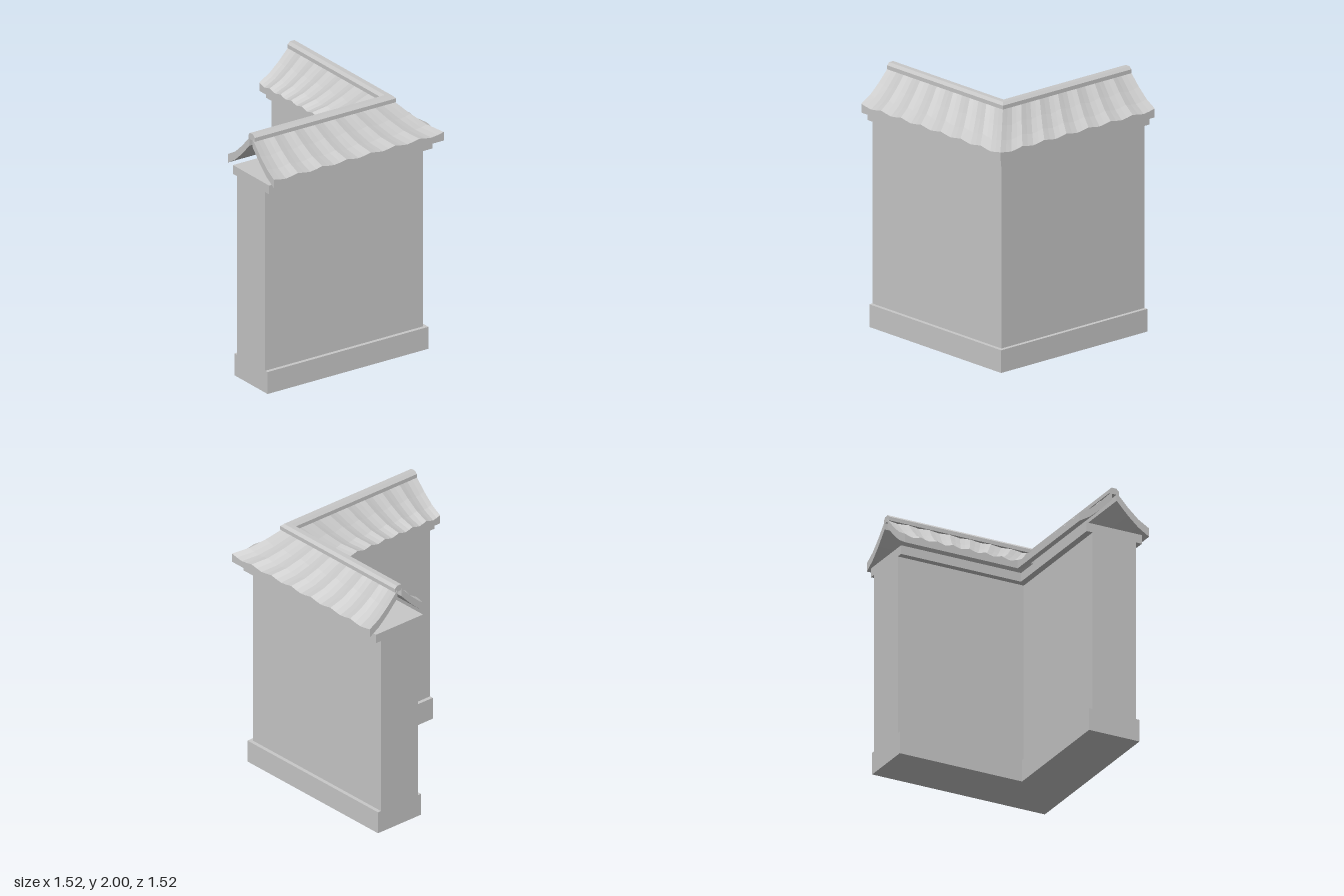
import * as THREE from 'three';

const END = -0.76;    // open end of each wing
const CENTRE = 0.47;  // ridge line offset of both wings

// Sweeps a (offset, height) cross-section along one wing, mitred at the corner.
// section(t) gives an even number of points; t runs from the open end to the corner.
function wing(section, stations, alongX, flip = false, end = END) {
  const pos = [];
  const reverse = flip !== !alongX;
  const quad = (a, b, c, d) => {
    const q = reverse ? [a, d, c, a, c, b] : [a, b, c, a, c, d];
    q.forEach((p) => pos.push(...p));
  };
  const rings = stations.map((t) => section(t).map(([d, y]) => {
    const across = CENTRE + d;
    const along = end + (across - end) * t;
    return alongX ? [along, y, across] : [across, y, along];
  }));
  const m = rings[0].length;
  for (let k = 0; k < rings.length - 1; k++) {
    for (let i = 0; i < m; i++) {
      const j = (i + 1) % m;
      quad(rings[k][i], rings[k + 1][i], rings[k + 1][j], rings[k][j]);
    }
  }
  // End cap
  const r = rings[0];
  for (let i = 0; i < m / 2 - 1; i++) quad(r[i], r[i + 1], r[m - 2 - i], r[m - 1 - i]);
  const geo = new THREE.BufferGeometry();
  geo.setAttribute('position', new THREE.Float32BufferAttribute(pos, 3));
  geo.computeVertexNormals();
  return geo;
}

export function createModel() {
  const group = new THREE.Group();
  const stone = new THREE.MeshStandardMaterial({ color: 0xc8c8c8 });
  stone.name = 'pale grey stone';

  const add = (name, section, stations, flip, end) => {
    for (const alongX of [true, false]) {
      const mesh = new THREE.Mesh(wing(section, stations, alongX, flip, end), stone);
      mesh.name = name + (alongX ? 'Front' : 'Side');
      group.add(mesh);
    }
  };
  const box = (w, y0, y1) => () => [[-w, y0], [w, y0], [w, y1], [-w, y1]];

  // Plinth, wall and ledge
  add('plinth', box(0.21, 0, 0.175), [0, 1]);
  add('wall', box(0.18, 0.175, 1.6), [0, 1]);
  add('ledge', box(0.23, 1.6, 1.67), [0, 1]);

  // Roof slabs: seven hollow tiles per wing, fanning out towards the corner
  const top = [[0.29, 1.738], [0.2, 1.79], [0.115, 1.865], [0.02, 1.965]];
  const under = [[0.02, 1.9], [0.115, 1.8], [0.2, 1.725], [0.29, 1.67]];
  const dip = [0, 0.011, 0.018, 0.011];
  const tiles = 7;
  const steps = Array.from({ length: tiles * 4 + 1 }, (_, i) => i / (tiles * 4));
  for (const side of [1, -1]) {
    const section = (t) => {
      const drop = dip[Math.round(t * tiles * 4) % 4];
      return [...top.map(([d, y]) => [side * d, y - drop]),
        ...under.map(([d, y]) => [side * d, y])];
    };
    add(side > 0 ? 'outerRoof' : 'innerRoof', section, steps, side < 0);
  }

  // Ridge cap with bevelled top
  add('ridge', () => [[-0.04, 1.95], [0.04, 1.95], [0.04, 1.98],
    [0.02, 2], [-0.02, 2], [-0.04, 1.98]], [0, 1], false, -0.755);

  return group;
}
